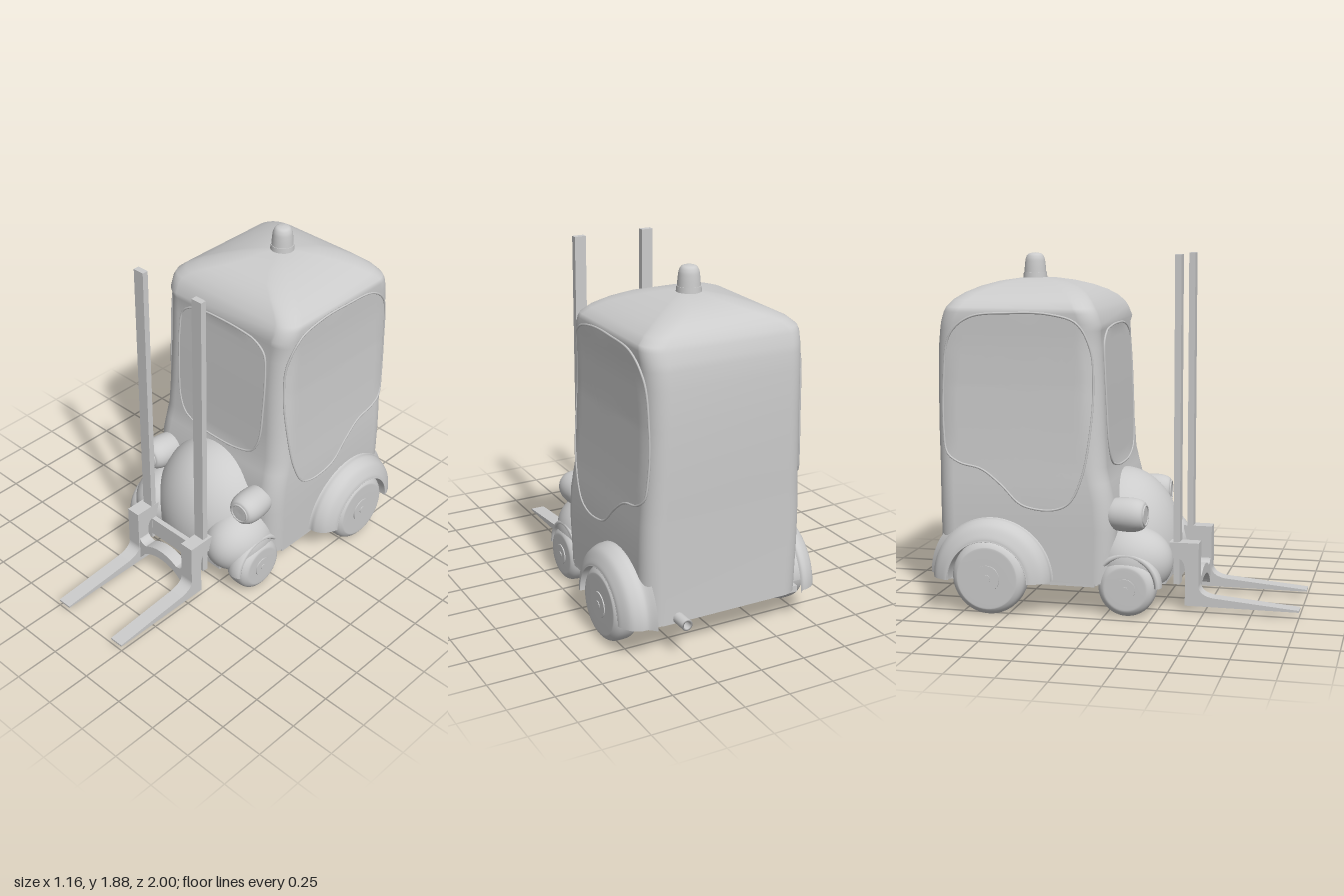
import * as THREE from 'three';

const material = new THREE.MeshStandardMaterial({ color: 0xcccccc, side: THREE.DoubleSide });

// Cabin cross-sections: height, half width, front z, back z
const LEVELS = [
  [0.17, 0.45, 0.04, -0.91], [0.45, 0.457, 0.05, -0.912], [0.6, 0.456, 0.04, -0.914],
  [0.7, 0.452, 0.015, -0.915], [0.78, 0.447, -0.003, -0.917], [0.95, 0.44, -0.012, -0.922],
  [1.2, 0.433, -0.022, -0.924], [1.4, 0.435, -0.032, -0.918], [1.49, 0.438, -0.036, -0.908],
  [1.525, 0.44, -0.026, -0.902], [1.58, 0.442, -0.05, -0.885], [1.605, 0.435, -0.066, -0.873],
  [1.64, 0.395, -0.095, -0.848], [1.675, 0.325, -0.14, -0.805], [1.705, 0.245, -0.2, -0.745],
  [1.73, 0.16, -0.285, -0.66], [1.745, 0.08, -0.38, -0.56], [1.75, 0.01, -0.46, -0.48],
];
const cornerRadius = (hw, zf, zb) => Math.min(0.1, hw * 0.5, (zf - zb) * 0.25);

function sectionAt(y) {
  let i = 0;
  while (i < LEVELS.length - 2 && LEVELS[i + 1][0] < y) i++;
  const a = LEVELS[i], b = LEVELS[i + 1], t = (y - a[0]) / (b[0] - a[0]);
  return [1, 2, 3].map((k) => a[k] + (b[k] - a[k]) * t);
}

// Distance by which a rounded corner pulls back, "over" units into the corner
const pullBack = (r, over) => (over <= 0 ? 0 : r - Math.sqrt(Math.max(0, r * r - over * over)));

function sideX(y, z) {
  const [hw, zf, zb] = sectionAt(y), r = cornerRadius(hw, zf, zb);
  return hw - pullBack(r, Math.max(z - zf + r, zb + r - z));
}
function frontZ(y, x) {
  const [hw, zf, zb] = sectionAt(y), r = cornerRadius(hw, zf, zb);
  return zf - pullBack(r, Math.abs(x) - hw + r);
}

function buffer(positions, index) {
  const g = new THREE.BufferGeometry();
  g.setAttribute('position', new THREE.Float32BufferAttribute(positions, 3));
  g.setIndex(index);
  g.computeVertexNormals();
  return g;
}

// Joins closed rings of n points each
function stitch(rings, n) {
  const index = [];
  for (let i = 0; i < rings - 1; i++) {
    for (let j = 0; j < n; j++) {
      const a = i * n + j, b = i * n + ((j + 1) % n);
      index.push(a, a + n, b, b, a + n, b + n);
    }
  }
  return index;
}

function cabinGeometry() {
  const pos = [], arc = 10, n = 4 * (arc + 1);
  for (const [y, hw, zf, zb] of LEVELS) {
    const r = cornerRadius(hw, zf, zb);
    for (let c = 0; c < 4; c++) {
      const cx = (c === 0 || c === 3 ? 1 : -1) * (hw - r), cz = c < 2 ? zf - r : zb + r;
      for (let k = 0; k <= arc; k++) {
        const a = (c + k / arc) * Math.PI / 2;
        pos.push(cx + r * Math.cos(a), y, cz + r * Math.sin(a));
      }
    }
  }
  return buffer(pos, stitch(LEVELS.length, n));
}

// Window pane: rings shrinking to the middle, each point laid on the cabin wall
function paneGeometry(outline, centre, place) {
  const n = 96, rings = 12, pos = [];
  const curve = new THREE.CatmullRomCurve3(outline.map(([u, v]) => new THREE.Vector3(u, v, 0)), true);
  const pts = curve.getSpacedPoints(n).slice(0, n);
  for (let i = 0; i < rings; i++) {
    const s = 1 - i / (rings - 1);
    for (const p of pts) {
      pos.push(...place(centre[0] + (p.x - centre[0]) * s, centre[1] + (p.y - centre[1]) * s));
    }
  }
  const seal = new THREE.CatmullRomCurve3(pts.map((p) => new THREE.Vector3(...place(p.x, p.y))), true);
  return [buffer(pos, stitch(rings, n)), new THREE.TubeGeometry(seal, 128, 0.006, 6, true)];
}

// Ellipsoid with a flat underside
function bulge(rx, ry, rz, cx, cy, cz, floor) {
  const g = new THREE.SphereGeometry(1, 48, 32).scale(rx, ry, rz).translate(cx, cy, cz);
  const p = g.attributes.position;
  for (let i = 0; i < p.count; i++) p.setY(i, Math.max(floor, p.getY(i)));
  return g;
}

const lathe = (points, segments = 48, start = 0, sweep = Math.PI * 2) =>
  new THREE.LatheGeometry(new THREE.SplineCurve(points.map(([r, h]) => new THREE.Vector2(r, h))).getPoints(32)
    .map((p) => new THREE.Vector2(Math.max(0, p.x), p.y)), segments, start, sweep);

const polygon = (points) => new THREE.Shape(points.map(([u, v]) => new THREE.Vector2(u, v)));
const extrude = (shape, depth) => new THREE.ExtrudeGeometry(shape, { depth, bevelEnabled: false, curveSegments: 20 });
const box = (w, h, d, x, y, z) => new THREE.BoxGeometry(w, h, d).translate(x, y, z);

export function createModel() {
  const model = new THREE.Group();
  const add = (name, geometry, parent = model) => {
    const mesh = new THREE.Mesh(geometry, material);
    mesh.name = name;
    parent.add(mesh);
    return mesh;
  };

  // Body
  add('cabin', cabinGeometry());
  add('hood', bulge(0.36, 0.43, 0.33, 0, 0.29, 0, 0.16));
  const half = [[0.3, 0.3], [0.3, -0.05], [0.45, -0.05], [0.45, -0.88]];
  const chassis = extrude(polygon([...half, ...half.map(([x, z]) => [-x, z]).reverse()]), 0.035);
  add('chassis', chassis.rotateX(Math.PI / 2).translate(0, 0.19, 0));

  // Windscreen
  const screenHalf = [[0, 0.75], [0.15, 0.76], [0.25, 0.795], [0.295, 0.88], [0.313, 1.1],
    [0.313, 1.32], [0.295, 1.43], [0.23, 1.48], [0.12, 1.503], [0, 1.508]];
  const screen = [...screenHalf, ...screenHalf.slice(1, -1).reverse().map(([x, y]) => [-x, y])];
  const [screenPane, screenSeal] = paneGeometry(screen, [0, 1.13], (x, y) => [x, y, frontZ(y, x) + 0.004]);
  add('windscreen', screenPane);
  add('windscreenSeal', screenSeal);

  const sideWindow = [[-0.06, 1.2], [-0.075, 1.4], [-0.14, 1.53], [-0.28, 1.575], [-0.5, 1.58],
    [-0.72, 1.555], [-0.83, 1.46], [-0.87, 1.2], [-0.87, 0.95], [-0.85, 0.84], [-0.78, 0.79],
    [-0.66, 0.76], [-0.55, 0.68], [-0.45, 0.585], [-0.37, 0.56], [-0.26, 0.56], [-0.18, 0.6],
    [-0.11, 0.75], [-0.07, 1.0]];

  // Parts found on both sides
  for (const s of [1, -1]) {
    const side = s > 0 ? 'left' : 'right';
    const [pane, seal] = paneGeometry(sideWindow, [-0.42, 1.1], (z, y) => [s * (sideX(y, z) + 0.004), y, z]);
    add(side + 'SideWindow', pane);
    add(side + 'SideWindowSeal', seal);

    add(side + 'FrontFender', bulge(0.17, 0.185, 0.215, s * 0.275, 0.27, 0.12, 0.16));
    add(side + 'FrontWheelArch', new THREE.TorusGeometry(0.165, 0.02, 12, 32, Math.PI)
      .scale(1, 1, 2.2).rotateY(Math.PI / 2).translate(s * 0.395, 0.16, 0.115));

    // Flared shell over the rear wheel
    const flare = [[0.36, 0.42], [0.325, 0.455], [0.32, 0.49], [0.295, 0.535], [0.25, 0.563], [0.222, 0.572], [0.215, 0.56], [0.215, 0.44]];
    const fender = add(side + 'RearFender', lathe(flare, 40, Math.PI, Math.PI).rotateZ(-Math.PI / 2));
    fender.rotation.y = s > 0 ? 0 : Math.PI;
    fender.position.set(0, 0.18, -0.6);

    // Wheels: radius, inner and outer faces, hub radius, axle z
    for (const [name, r, inner, outer, hub, z] of [['Front', 0.153, 0.3, 0.452, 0.055, 0.115], ['Rear', 0.2, 0.425, 0.57, 0.07, -0.6]]) {
      const wheel = new THREE.Group();
      wheel.name = side + name + 'Wheel';
      const e = 0.03;
      const tyre = [[0, inner], [r - 2 * e, inner], [r - e, inner + 0.004], [r - 0.005, inner + e], [r, (inner + outer) / 2],
        [r - 0.005, outer - e], [r - e, outer - 0.004], [r - 2 * e, outer], [0, outer]];
      add('tyre', lathe(tyre).rotateZ(-Math.PI / 2), wheel);
      add('hub', new THREE.CylinderGeometry(hub, hub, 0.012, 32).rotateZ(Math.PI / 2).translate(outer, 0, 0), wheel);
      add('hubCap', new THREE.CylinderGeometry(hub * 0.3, hub * 0.3, 0.02, 20).rotateZ(Math.PI / 2).translate(outer, 0, 0), wheel);
      wheel.rotation.y = s > 0 ? 0 : Math.PI;
      wheel.position.set(0, r, z);
      model.add(wheel);
    }

    // Headlight with a lens ring
    const lamp = new THREE.Group();
    lamp.name = side + 'Headlight';
    const shell = [[0, -0.12], [0.05, -0.105], [0.08, -0.07], [0.09, 0], [0.088, 0.06], [0.075, 0.098], [0.055, 0.112], [0, 0.112]];
    add('shell', lathe(shell, 36).rotateX(Math.PI / 2), lamp);
    add('lensRing', new THREE.TorusGeometry(0.052, 0.006, 10, 36).translate(0, 0, 0.112), lamp);
    lamp.rotation.y = s * 0.06;
    lamp.position.set(s * 0.345, 0.53, 0.09);
    model.add(lamp);

    add(side + 'MastRail', box(0.065, 1.74, 0.034, s * 0.203, 1.01, 0.347));

    // Fork arm with its hook over the mast
    const fork = new THREE.Shape();
    fork.moveTo(0.395, 0.03);
    fork.lineTo(1, 0.03);
    fork.lineTo(1, 0.04);
    fork.lineTo(0.55, 0.078);
    fork.quadraticCurveTo(0.47, 0.09, 0.468, 0.14);
    fork.lineTo(0.468, 0.37);
    fork.lineTo(0.31, 0.37);
    fork.lineTo(0.31, 0.355);
    fork.lineTo(0.33, 0.28);
    fork.quadraticCurveTo(0.39, 0.3, 0.395, 0.22);
    add(side + 'Fork', extrude(fork, 0.08).rotateY(-Math.PI / 2).translate(s * 0.21 + 0.04, 0, 0));
  }

  // Carriage between the forks
  const bridge = new THREE.Shape();
  bridge.moveTo(-0.18, 0.03);
  bridge.bezierCurveTo(-0.13, 0.18, 0.13, 0.18, 0.18, 0.03);
  bridge.lineTo(0.18, 0.22);
  bridge.quadraticCurveTo(0.17, 0.165, 0.12, 0.165);
  bridge.quadraticCurveTo(0, 0.235, -0.12, 0.165);
  bridge.quadraticCurveTo(-0.17, 0.165, -0.18, 0.22);
  add('forkBridge', extrude(bridge, 0.07).translate(0, 0, 0.392));
  add('mastCrossPlate', box(0.36, 0.11, 0.03, 0, 0.225, 0.347));

  // Roof beacon
  add('beaconBase', new THREE.CylinderGeometry(0.063, 0.066, 0.04, 32).translate(0, 1.755, -0.488));
  const beacon = [[0.06, 1.77], [0.056, 1.82], [0.05, 1.853], [0.035, 1.874], [0, 1.881]];
  add('beacon', lathe(beacon, 32).translate(0, 0, -0.488));

  // Exhaust pipe, hollow at its end
  const pipe = [[0.02, 0.14], [0.02, 0], [0.03, 0], [0.03, 0.14]].map(([r, h]) => new THREE.Vector2(r, h));
  add('exhaustPipe', new THREE.LatheGeometry(pipe, 24).rotateX(Math.PI / 2).translate(0.28, 0.198, -1));

  return model;
}
